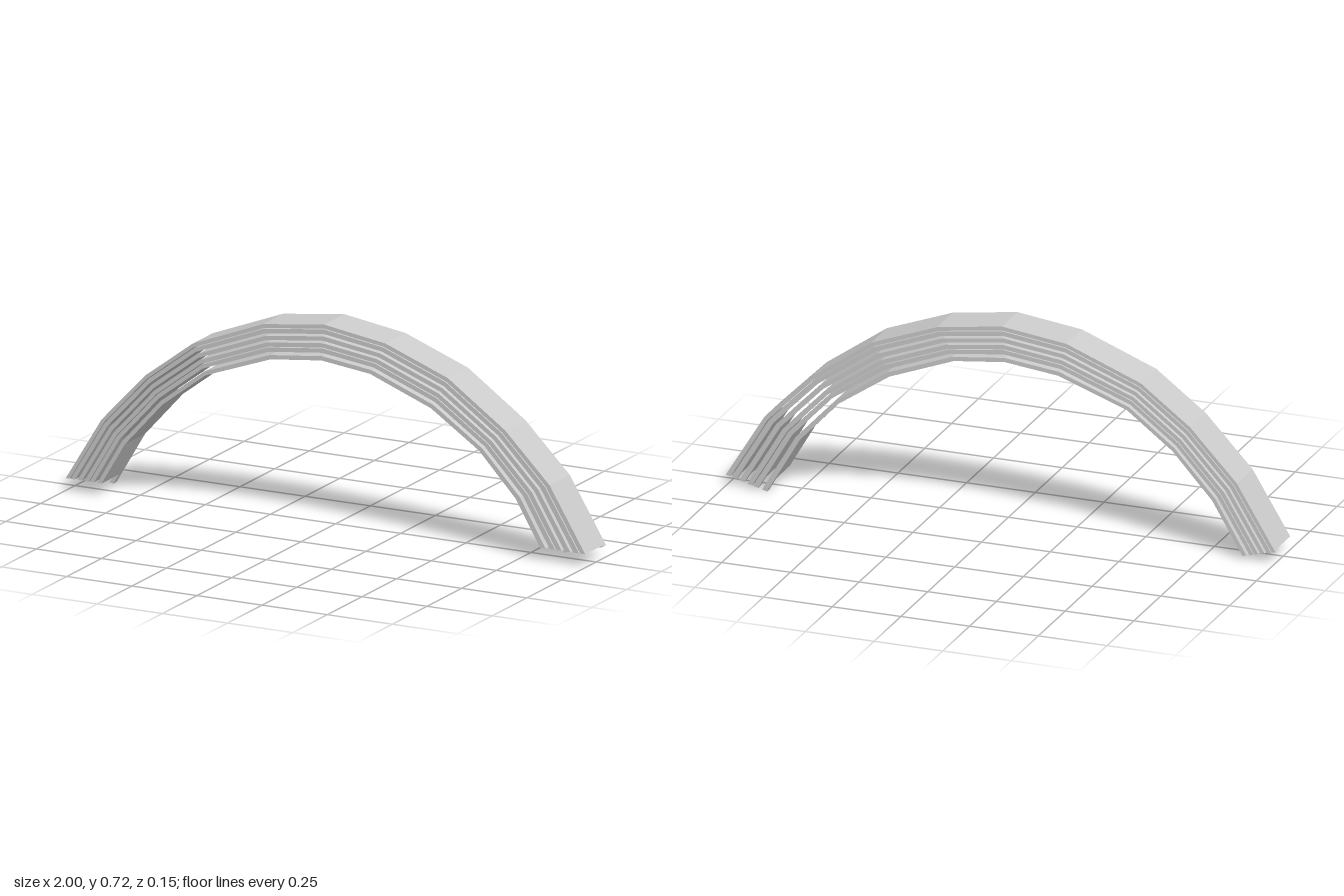
import * as THREE from 'three';

// Outer and inner edges of the whole arch, from the -x foot to the +x foot
const OUTER = [[-1, 0.04], [-0.86, 0.27], [-0.69, 0.45], [-0.51, 0.585], [-0.24, 0.69], [-0.005, 0.72],
  [0.23, 0.685], [0.47, 0.595], [0.69, 0.44], [0.86, 0.27], [1, 0.04]];
const INNER = [[-0.88, 0.01], [-0.77, 0.195], [-0.625, 0.355], [-0.46, 0.48], [-0.21, 0.57], [-0.015, 0.592],
  [0.17, 0.57], [0.405, 0.48], [0.59, 0.355], [0.73, 0.205], [0.85, 0]];

// Each band: start and end as a fraction of the arch thickness
const BANDS = [[0, 0.11], [0.135, 0.26], [0.33, 0.45], [0.52, 0.64], [0.665, 0.785], [0.88, 1]];

const FRONT = 0.073, STEP = -0.05, BACK = -0.073, CUT = 0.045;

const edge = (t) => OUTER.map((o, i) => new THREE.Vector2(
  THREE.MathUtils.lerp(o[0], INNER[i][0], t),
  THREE.MathUtils.lerp(o[1], INNER[i][1], t)));

// Trim both feet of an edge level at height y
function trim(points, y) {
  const n = points.length - 1;
  for (const [end, next] of [[0, 1], [n, n - 1]]) {
    const a = points[end], b = points[next];
    if (a.y < y) points[end] = a.clone().lerp(b, (y - a.y) / (b.y - a.y));
  }
  return points;
}

function bandGeometry(t0, t1, zBack, zFront, cut) {
  const top = trim(edge(t0), cut);
  const bottom = trim(edge(t1), cut);
  const shape = new THREE.Shape([...top, ...bottom.reverse()]);
  const geometry = new THREE.ExtrudeGeometry(shape, { depth: zFront - zBack, bevelEnabled: false });
  return geometry.translate(0, 0, zBack);
}

export function createModel() {
  const group = new THREE.Group();
  group.name = 'bandedArch';
  const material = new THREE.MeshStandardMaterial({ color: 0xcccccc, flatShading: true, side: THREE.DoubleSide });

  BANDS.forEach(([t0, t1], i) => {
    const band = new THREE.Group();
    band.name = `archBand${i + 1}`;
    // Wide part, trimmed level at the feet
    const wide = new THREE.Mesh(bandGeometry(t0, t1, STEP, FRONT, CUT), material);
    wide.name = 'wideStrip';
    // Narrow rear rib, running on to the staggered feet
    const rib = new THREE.Mesh(bandGeometry(t0, t1, BACK, STEP, -1), material);
    rib.name = 'rearRib';
    band.add(wide, rib);
    group.add(band);
  });
  return group;
}
